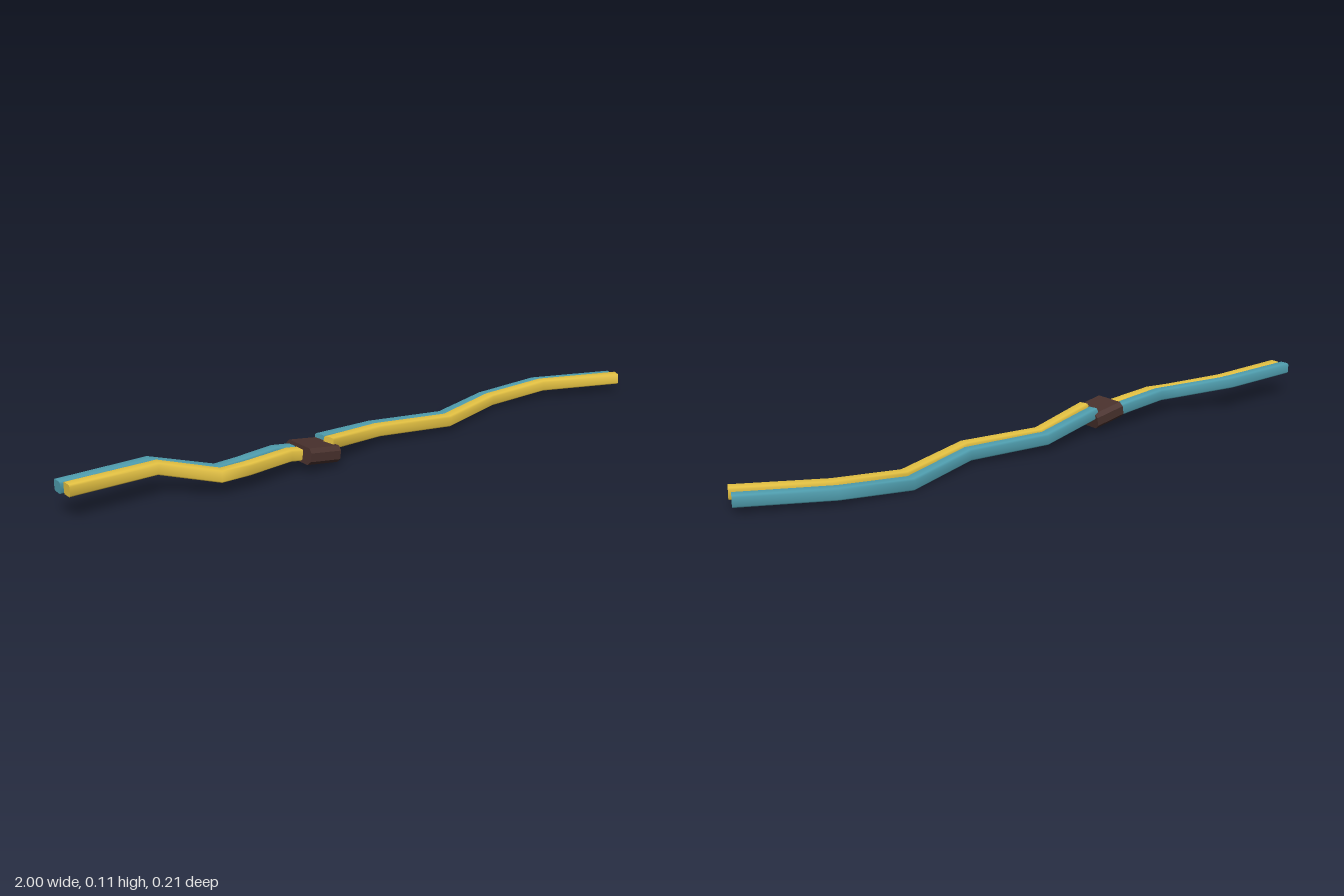
import * as THREE from 'three';

const yellow = new THREE.MeshStandardMaterial({ color: 0xe6c343 });
const teal = new THREE.MeshStandardMaterial({ color: 0x509fb0 });
const brown = new THREE.MeshStandardMaterial({ color: 0x4a322e });

// Rectangle with cut corners, counter-clockwise in (side, up)
function section(w, h, c) {
  return [[w, -h + c], [w, h - c], [w - c, h], [-w + c, h],
    [-w, h - c], [-w, -h + c], [-w + c, -h], [w - c, -h]];
}

// Sweep a section along a polyline with mitred bends and capped ends
function sweep(name, path, profile, material, flat = false) {
  const pts = path.map(p => new THREE.Vector3(...p));
  const n = profile.length, last = pts.length - 1;
  const dirs = pts.slice(1).map((p, i) => p.clone().sub(pts[i]).normalize());
  const pos = [], index = [];
  pts.forEach((p, i) => {
    const before = dirs[Math.max(i - 1, 0)], after = dirs[Math.min(i, last - 1)];
    const t = before.clone().add(after).normalize();
    const s = t.clone().cross(new THREE.Vector3(0, 1, 0)).normalize();
    const u = s.clone().cross(t);
    const mitre = 1 / t.dot(before);
    for (const [a, b] of profile) {
      const v = p.clone().addScaledVector(s, a * mitre).addScaledVector(u, b);
      pos.push(v.x, v.y, v.z);
    }
  });
  for (let i = 0; i < last; i++) {
    for (let j = 0; j < n; j++) {
      const a = i * n + j, b = i * n + (j + 1) % n;
      index.push(a, a + n, b, b, a + n, b + n);
    }
  }
  // End caps on their own vertices so the rims stay sharp
  const start = pos.length / 3, end = start + n;
  pos.push(...pos.slice(0, n * 3), ...pos.slice(last * n * 3, (last + 1) * n * 3));
  for (let j = 1; j < n - 1; j++) {
    index.push(start, start + j, start + j + 1, end, end + j + 1, end + j);
  }
  let geo = new THREE.BufferGeometry();
  geo.setAttribute('position', new THREE.Float32BufferAttribute(pos, 3));
  geo.setIndex(index);
  if (flat) geo = geo.toNonIndexed();
  geo.computeVertexNormals();
  const mesh = new THREE.Mesh(geo, material);
  mesh.name = name;
  return mesh;
}

export function createModel() {
  const model = new THREE.Group();
  model.name = 'splicedCables';
  const wire = section(0.0185, 0.0175, 0.005);

  // Short lengths running into the clamp from the right
  model.add(sweep('yellowCableRight', [
    [-0.99, 0.093, -0.048], [-0.72, 0.088, -0.053], [-0.575, 0.059, 0.043],
    [-0.495, 0.062, 0.05], [-0.34, 0.059, 0.028], [-0.25, 0.047, 0.034],
  ], wire, yellow));
  model.add(sweep('tealCableRight', [
    [-1, 0.093, -0.083], [-0.73, 0.09, -0.088], [-0.575, 0.061, 0.011],
    [-0.5, 0.064, 0.013], [-0.366, 0.062, -0.009], [-0.25, 0.047, -0.004],
  ], wire, teal));

  // Long lengths running out to the left
  model.add(sweep('yellowCableLeft', [
    [-0.205, 0.067, 0.038], [0.02, 0.041, -0.018], [0.26, 0.034, 0.032],
    [0.52, 0.026, -0.053], [0.735, 0.04, -0.029], [0.983, 0.045, 0.086],
  ], wire, yellow));
  model.add(sweep('tealCableLeft', [
    [-0.205, 0.063, -0.008], [0.025, 0.037, -0.056], [0.275, 0.028, -0.009],
    [0.525, 0.018, -0.093], [0.74, 0.033, -0.069], [0.992, 0.037, 0.046],
  ], wire, teal));

  // Chamfered clamp around the joint
  model.add(sweep('clamp', [[-0.305, 0.058, 0.027], [-0.196, 0.04, 0.022]],
    section(0.06, 0.025, 0.012), brown, true));
  return model;
}
